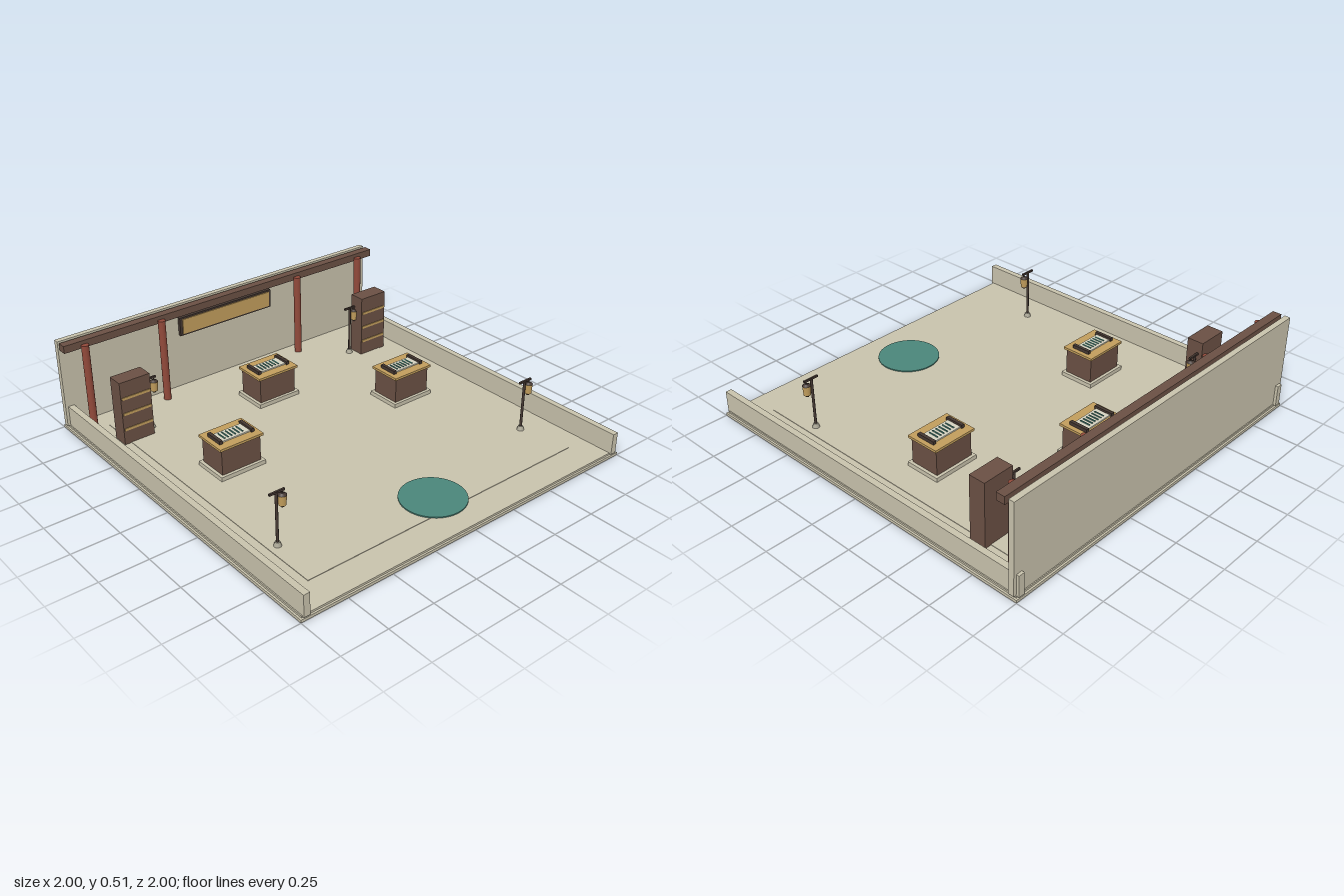
import * as THREE from 'three';

const mat = (name, color) => {
  const m = new THREE.MeshStandardMaterial({ color });
  m.name = name;
  return m;
};

export function createModel() {
  const stone = mat('pale stone', 0xc8c2ac);
  const wood = mat('brown wood', 0x6a5044);
  const dark = mat('dark wood', 0x443731);
  const red = mat('red lacquer', 0x91493a);
  const gold = mat('golden wood', 0xc19d5c);
  const paper = mat('scroll paper', 0xd5d2c0);
  const teal = mat('teal', 0x4a867a);
  const grey = mat('lamp stone', 0xaaa695);

  const root = new THREE.Group();
  root.name = 'courtyardHall';

  const add = (parent, name, geo, material, x, y, z) => {
    const mesh = new THREE.Mesh(geo, material);
    mesh.name = name;
    mesh.position.set(x, y, z);
    parent.add(mesh);
    return mesh;
  };
  // Box given by its x, y and z ranges
  const box = (parent, name, material, x0, x1, y0, y1, z0, z1) =>
    add(parent, name, new THREE.BoxGeometry(x1 - x0, y1 - y0, z1 - z0), material,
      (x0 + x1) / 2, (y0 + y1) / 2, (z0 + z1) / 2);
  // Upright cylinder or cone from y0 to y1
  const post = (parent, name, material, rTop, rBottom, x, y0, y1, z, sides = 20) =>
    add(parent, name, new THREE.CylinderGeometry(rTop, rBottom, y1 - y0, sides), material, x, (y0 + y1) / 2, z);
  const group = (name, x, z) => {
    const g = new THREE.Group();
    g.name = name;
    g.position.set(x, 0, z);
    root.add(g);
    return g;
  };

  // Floor slabs, raised court and round mat
  box(root, 'basePlate', stone, -1, 1, 0, 0.015, -1, 1);
  box(root, 'floor', stone, -0.99, 0.99, 0.015, 0.025, -0.99, 0.99);
  box(root, 'innerFloor', stone, -0.83, 0.83, 0.025, 0.028, -0.83, 0.83);
  post(root, 'roundMat', teal, 0.165, 0.165, 0, 0.028, 0.034, 0.72, 48);

  // Walls, roof beam and columns
  for (const s of [-1, 1]) {
    const wall = box(root, 'sideWall', stone, -0.0165, 0.0165, 0.02, 0.135, -1, 1);
    wall.position.x = s * 0.968;
  }
  box(root, 'backWall', stone, -1, 1, 0.025, 0.51, -0.985, -0.955);
  box(root, 'roofBeam', wood, -1, 1, 0.47, 0.51, -0.935, -0.888);
  for (const x of [-0.89, -0.445, 0.445, 0.89])
    post(root, 'column', red, 0.02, 0.02, x, 0.025, 0.49, -0.877);

  // Wall plaque
  box(root, 'plaqueFrame', dark, -0.3, 0.3, 0.33, 0.435, -0.955, -0.936);
  box(root, 'plaquePanel', gold, -0.285, 0.285, 0.34, 0.425, -0.938, -0.93);

  // Cabinets with shelf strips
  for (const s of [-1, 1]) {
    const cabinet = group('cabinet', s * 0.78, -0.65);
    box(cabinet, 'cabinetBody', wood, -0.086, 0.086, 0.025, 0.375, -0.045, 0.045);
    for (const y of [0.11, 0.197, 0.284])
      box(cabinet, 'shelfStrip', gold, -0.08, 0.08, y - 0.007, y + 0.007, 0.043, 0.049);
  }

  // Desks carrying an open scroll
  for (const [x, z] of [[0, -0.562], [-0.555, -0.113], [0.555, -0.113]]) {
    const desk = group('desk', x, z);
    box(desk, 'plinth', stone, -0.13, 0.13, 0.025, 0.05, -0.098, 0.098);
    box(desk, 'deskBody', wood, -0.113, 0.113, 0.05, 0.188, -0.082, 0.082);
    box(desk, 'deskTop', gold, -0.126, 0.126, 0.188, 0.201, -0.093, 0.093);
    box(desk, 'scroll', paper, -0.085, 0.085, 0.201, 0.208, -0.042, 0.042);
    for (const s of [-1, 1])
      box(desk, 'scrollRoller', dark, s * 0.092 - 0.009, s * 0.092 + 0.009, 0.201, 0.219, -0.052, 0.052);
    for (let i = 0; i < 6; i++) {
      const sx = -0.055 + i * 0.021;
      box(desk, 'scrollLine', teal, sx - 0.003, sx + 0.003, 0.208, 0.212, -0.028, 0.028);
    }
  }

  // Lamp posts, each lantern hung to the +x side
  for (const [x, z] of [[-0.782, 0.555], [0.777, 0.555], [-0.67, -0.67], [0.66, -0.67]]) {
    const lamp = group('lampPost', x, z);
    post(lamp, 'lampBase', grey, 0.012, 0.02, 0, 0.025, 0.05, 0);
    post(lamp, 'lampPole', dark, 0.007, 0.007, 0, 0.05, 0.31, 0, 12);
    box(lamp, 'lampArm', dark, -0.038, 0.045, 0.304, 0.314, -0.005, 0.005);
    post(lamp, 'lanternHook', dark, 0.003, 0.003, 0.032, 0.29, 0.306, 0, 8);
    post(lamp, 'lanternCap', dark, 0.008, 0.022, 0.032, 0.284, 0.294, 0, 16);
    post(lamp, 'lantern', gold, 0.021, 0.018, 0.032, 0.232, 0.284, 0, 16);
    post(lamp, 'lanternFoot', dark, 0.012, 0.008, 0.032, 0.222, 0.232, 0, 16);
  }

  return root;
}
